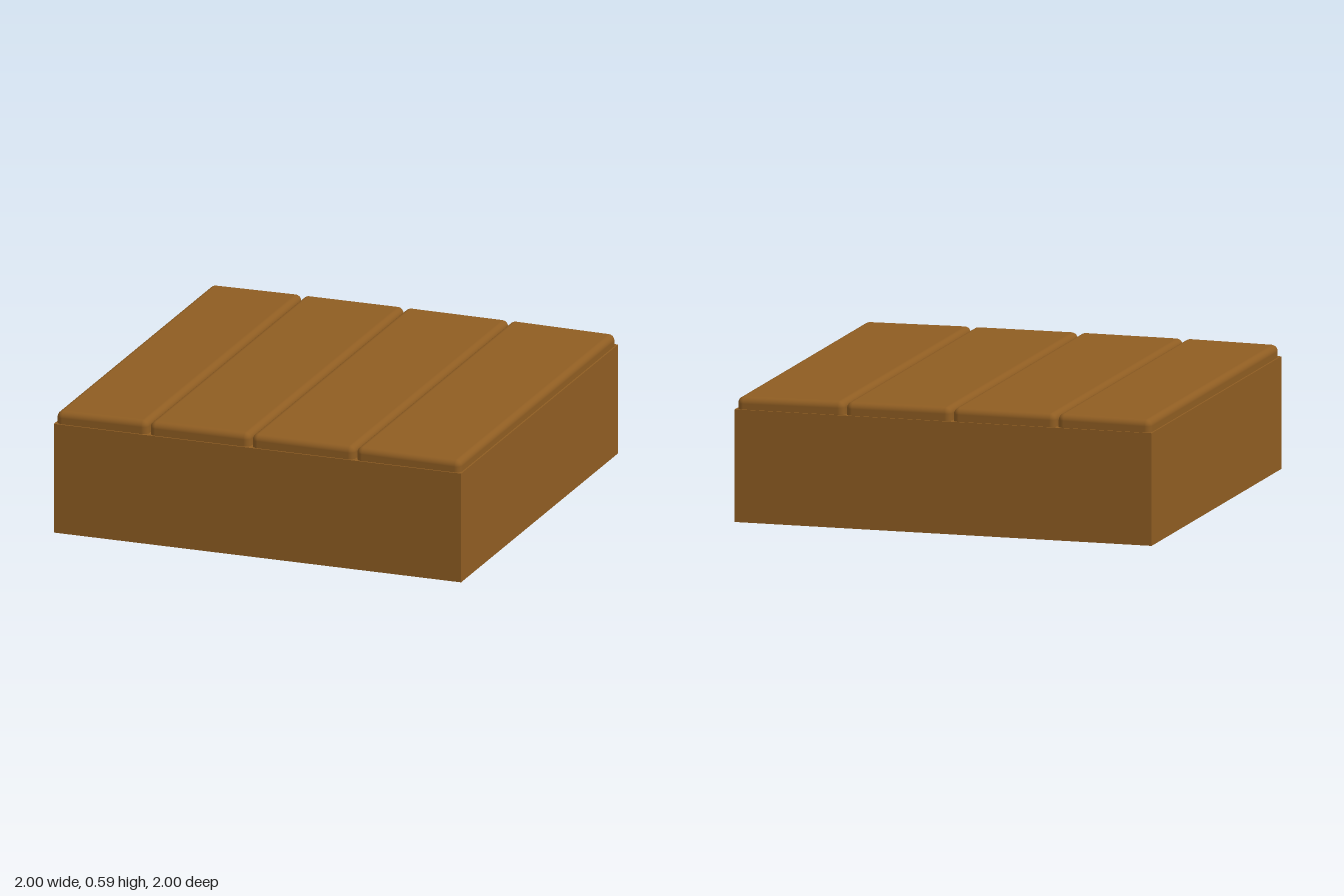
import * as THREE from 'three';
import { RoundedBoxGeometry } from 'three/addons/geometries/RoundedBoxGeometry.js';

export function createModel() {
  const model = new THREE.Group();
  model.name = 'woodenPlatform';
  const wood = new THREE.MeshStandardMaterial({ color: 0x8f5d22 });
  wood.name = 'brownWood';

  // Solid block under the planks
  const baseHeight = 0.525;
  const base = new THREE.Mesh(new THREE.BoxGeometry(2, baseHeight, 2), wood);
  base.name = 'base';
  base.position.y = baseHeight / 2;
  model.add(base);

  // Four worn planks: left edge, right edge, top height at each edge
  const planks = [
    [-0.993, -0.544, 0.583, 0.588],
    [-0.536, -0.042, 0.587, 0.588],
    [-0.034, 0.471, 0.588, 0.586],
    [0.479, 0.993, 0.587, 0.581],
  ];
  const bottom = 0.495; // sunk into the base so only the soft upper edges show
  planks.forEach(([x0, x1, y0, y1], i) => {
    const width = x1 - x0;
    const height = (y0 + y1) / 2 - bottom;
    const plank = new THREE.Mesh(new RoundedBoxGeometry(width, height, 1.986, 4, 0.03), wood);
    plank.name = `plank${i + 1}`;
    plank.position.set((x0 + x1) / 2, bottom + height / 2, 0);
    plank.rotation.z = Math.atan2(y1 - y0, width);
    model.add(plank);
  });

  return model;
}
